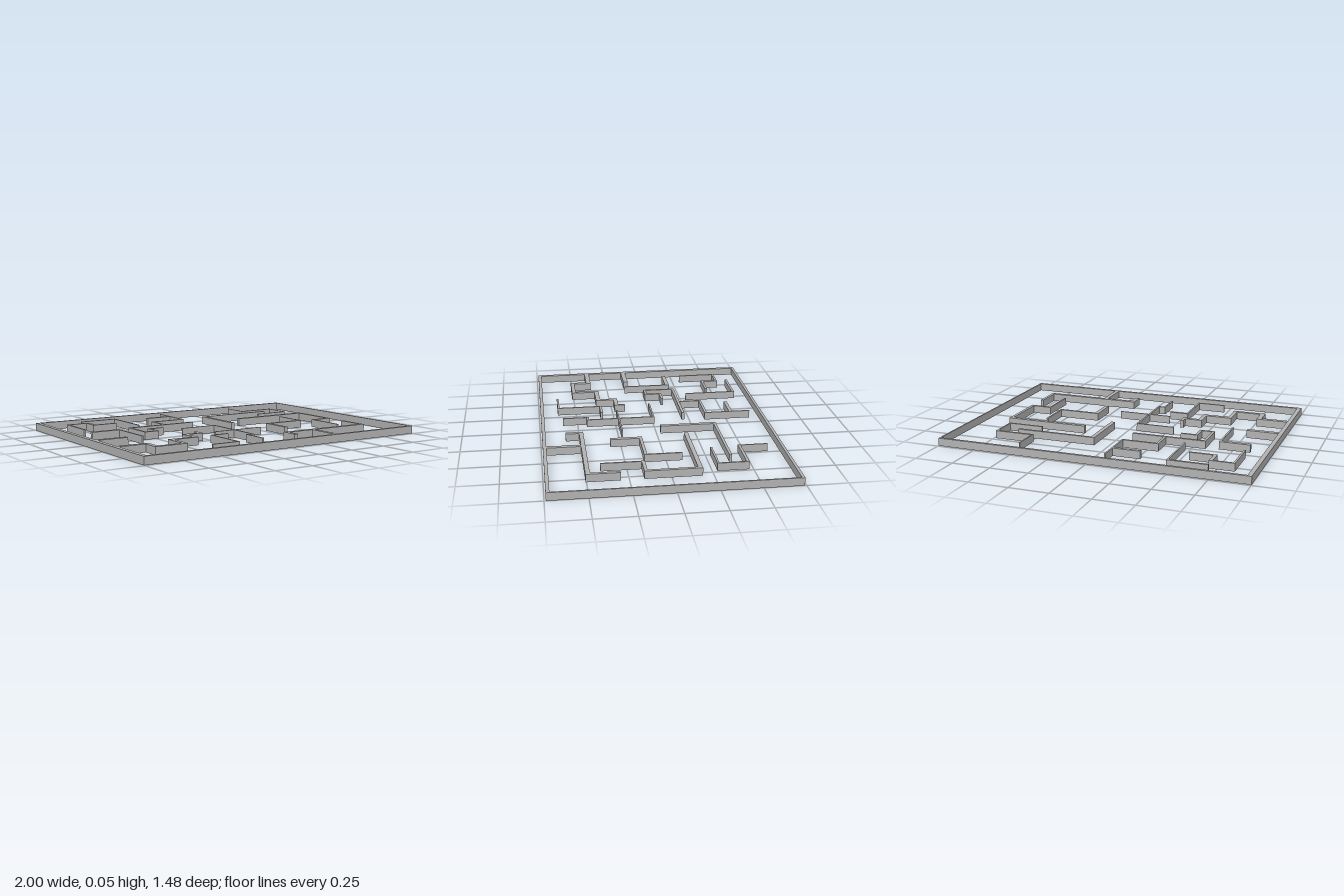
import * as THREE from 'three';

const HEIGHT = 0.05;

export function createModel() {
  const model = new THREE.Group();
  model.name = 'maze';
  const stone = new THREE.MeshStandardMaterial({ color: 0xb3b3b3 });
  stone.name = 'wall grey';

  // Upright wall run along a centreline of [x, z] points, one thickness per straight piece.
  // Pieces reach past each bend by half the neighbour's thickness, so corners are square.
  function wallRun(name, points, widths) {
    const run = new THREE.Group();
    run.name = name;
    widths.forEach((width, i) => {
      const [ax, az] = points[i], [bx, bz] = points[i + 1];
      const alongX = Math.abs(bx - ax) > Math.abs(bz - az);
      const startGrow = i > 0 ? widths[i - 1] / 2 : 0;
      const endGrow = i < widths.length - 1 ? widths[i + 1] / 2 : 0;
      const sign = Math.sign(alongX ? bx - ax : bz - az);
      const from = (alongX ? ax : az) - sign * startGrow;
      const to = (alongX ? bx : bz) + sign * endGrow;
      const length = Math.abs(to - from), middle = (from + to) / 2;
      const wall = new THREE.Mesh(
        new THREE.BoxGeometry(alongX ? length : width, HEIGHT, alongX ? width : length), stone);
      wall.position.set(alongX ? middle : ax, HEIGHT / 2, alongX ? az : middle);
      wall.name = name + 'Piece' + (i + 1);
      run.add(wall);
    });
    model.add(run);
  }

  // Outer boundary
  wallRun('backBoundary', [[-1, -0.731], [1, -0.731]], [0.018]);
  wallRun('frontBoundary', [[-1, 0.729], [1, 0.729]], [0.022]);
  wallRun('rightBoundary', [[-0.986, -0.722], [-0.986, 0.718]], [0.028]);
  wallRun('leftBoundary', [[0.995, -0.722], [0.995, 0.718]], [0.01]);

  // Back right corner
  wallRun('backHook', [[-0.72, -0.628], [-0.47, -0.628], [-0.47, -0.286]], [0.016, 0.011]);
  wallRun('backStep',
    [[-0.852, -0.3], [-0.852, -0.552], [-0.711, -0.552], [-0.711, -0.449], [-0.551, -0.449]],
    [0.013, 0.014, 0.022, 0.016]);
  wallRun('sideHook', [[-0.861, -0.182], [-0.668, -0.182], [-0.668, 0.128]], [0.027, 0.011]);

  // Walls joined to the right boundary
  wallRun('sideStub', [[-0.98, 0.11], [-0.767, 0.11]], [0.032]);
  wallRun('staircase',
    [[-0.98, 0.382], [-0.782, 0.382], [-0.782, 0.497], [-0.591, 0.497], [-0.591, 0.338],
      [-0.42, 0.338], [-0.42, 0.22], [-0.31, 0.22], [-0.31, 0.163]],
    [0.032, 0.03, 0.026, 0.026, 0.03, 0.027, 0.027, 0.021]);

  // Branching wall behind the centre
  wallRun('branchTrunk',
    [[-0.088, -0.66], [-0.088, -0.361], [-0.318, -0.361], [-0.318, -0.218]],
    [0.01, 0.016, 0.016]);
  wallRun('branchStub', [[-0.27, -0.532], [-0.092, -0.532]], [0.022]);
  wallRun('branchSpiral',
    [[-0.102, -0.209], [-0.575, -0.209], [-0.575, -0.005], [-0.491, -0.005],
      [-0.491, -0.107], [-0.39, -0.107]],
    [0.018, 0.016, 0.016, 0.018, 0.016]);

  // Crossing walls at the centre
  wallRun('centreRun',
    [[-0.307, -0.003], [-0.059, -0.003], [-0.059, 0.433], [-0.101, 0.433], [-0.101, 0.596]],
    [0.011, 0.011, 0.016, 0.011]);
  wallRun('centreCross', [[-0.206, 0.228], [0.147, 0.228]], [0.01]);
  wallRun('frontZigzag',
    [[-0.179, 0.332], [-0.296, 0.332], [-0.296, 0.617], [-0.479, 0.617]],
    [0.016, 0.011, 0.013]);

  // Left half
  wallRun('backLeftCurl',
    [[0.484, -0.645], [0.484, -0.466], [0.732, -0.466], [0.732, -0.287], [0.497, -0.287]],
    [0.008, 0.017, 0.011, 0.013]);
  wallRun('longCorner', [[0.105, -0.027], [0.105, -0.384], [0.62, -0.384]], [0.027, 0.017]);
  wallRun('leftCurl',
    [[0.246, -0.171], [0.78, -0.171], [0.78, 0.152], [0.647, 0.152], [0.647, 0.409]],
    [0.027, 0.021, 0.021, 0.011]);
  wallRun('leftZigzag',
    [[0.55, 0.1 - 0.2], [0.55, 0.125], [0.286, 0.125], [0.286, 0.318]],
    [0.011, 0.019, 0.027]);
  wallRun('frontLeftRun',
    [[0.78, 0.3], [0.78, 0.492], [0.158, 0.492], [0.158, 0.591]],
    [0.021, 0.027, 0.027]);
  wallRun('frontLeftStem', [[0.367, 0.5], [0.367, 0.72]], [0.027]);

  return model;
}
